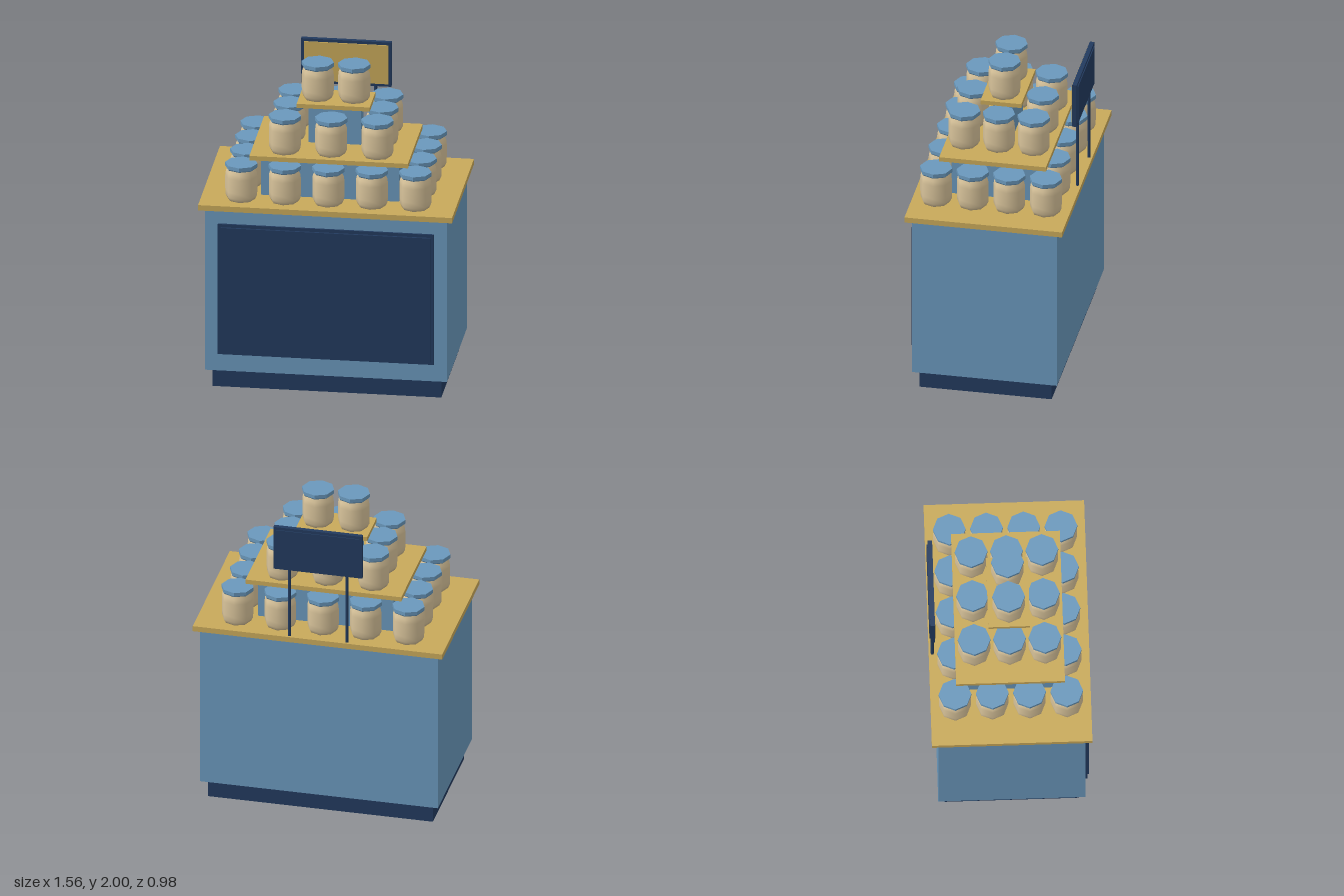
import * as THREE from 'three';

const mat = (name, color, flatShading = false) => {
  const m = new THREE.MeshStandardMaterial({ color, flatShading });
  m.name = name;
  return m;
};

export function createModel() {
  const blue = mat('blue paint', 0x6a98bc);
  const navy = mat('navy paint', 0x223a5e);
  const wood = mat('golden wood', 0xc8a95a);
  const cream = mat('cream filling', 0xd9c49b);

  const model = new THREE.Group();
  model.name = 'jarDisplayStand';

  const add = (name, geometry, material, parent = model) => {
    const mesh = new THREE.Mesh(geometry, material);
    mesh.name = name;
    parent.add(mesh);
    return mesh;
  };
  // Box centred on x, from y0 to y1 and z0 to z1
  const box = (name, material, halfX, y0, y1, z0, z1) =>
    add(name, new THREE.BoxGeometry(halfX * 2, y1 - y0, z1 - z0), material)
      .position.set(0, (y0 + y1) / 2, (z0 + z1) / 2);

  // Counter
  box('plinth', navy, 0.705, 0, 0.12, -0.41, 0.41);
  box('cabinet', blue, 0.745, 0.12, 1.18, -0.45, 0.45);
  box('counterTop', wood, 0.782, 1.18, 1.215, -0.49, 0.49);
  box('frontPanelFrame', navy, 0.665, 0.232, 1.086, 0.45, 0.462);
  box('frontPanel', navy, 0.645, 0.252, 1.066, 0.462, 0.474);

  // Stepped shelves on risers
  box('lowerRiser', blue, 0.425, 1.215, 1.463, -0.268, 0.268);
  box('lowerShelf', wood, 0.488, 1.463, 1.492, -0.332, 0.332);
  box('upperRiser', blue, 0.162, 1.492, 1.74, -0.06, 0.06);
  box('upperShelf', wood, 0.225, 1.74, 1.767, -0.127, 0.127);

  // Jar: rounded octagonal body with a faceted lid
  const points = list => list.map(([r, y]) => new THREE.Vector2(r, y));
  const bodyGeometry = new THREE.LatheGeometry(points([
    [0, 0], [0.085, 0], [0.097, 0.025], [0.099, 0.06],
    [0.099, 0.15], [0.095, 0.18], [0.084, 0.2], [0.084, 0.21],
  ]), 8);
  const lidGeometry = new THREE.LatheGeometry(points([
    [0.084, 0.202], [0.094, 0.202], [0.1, 0.21], [0.1, 0.233], [0, 0.233],
  ]), 8).toNonIndexed();
  lidGeometry.computeVertexNormals();

  const addJar = (x, y, z) => {
    const jar = new THREE.Group();
    jar.name = 'jar';
    add('jarBody', bodyGeometry, cream, jar);
    add('jarLid', lidGeometry, blue, jar);
    jar.position.set(x, y, z);
    model.add(jar);
  };

  // Ring of jars around the edge of each tier
  const addRing = (nx, nz, halfX, halfZ, y) => {
    for (let i = 0; i < nx; i++) {
      for (let k = 0; k < nz; k++) {
        if (i > 0 && i < nx - 1 && k > 0 && k < nz - 1) continue;
        addJar(-halfX + (2 * halfX * i) / (nx - 1), y, -halfZ + (2 * halfZ * k) / (nz - 1));
      }
    }
  };
  addRing(5, 4, 0.536, 0.341, 1.216);
  addRing(3, 3, 0.285, 0.216, 1.493);
  for (const x of [-0.112, 0.112]) addJar(x, 1.767, 0);

  // Sign on two posts at the back
  for (const x of [-0.18, 0.18]) {
    add('signPost', new THREE.CylinderGeometry(0.01, 0.01, 0.47, 8), navy)
      .position.set(x, 1.45, -0.468);
  }
  box('signBoard', navy, 0.278, 1.675, 1.965, -0.482, -0.454);
  box('signFace', wood, 0.26, 1.693, 1.947, -0.454, -0.447);
  box('signBack', navy, 0.26, 1.693, 1.947, -0.488, -0.482);

  return model;
}
